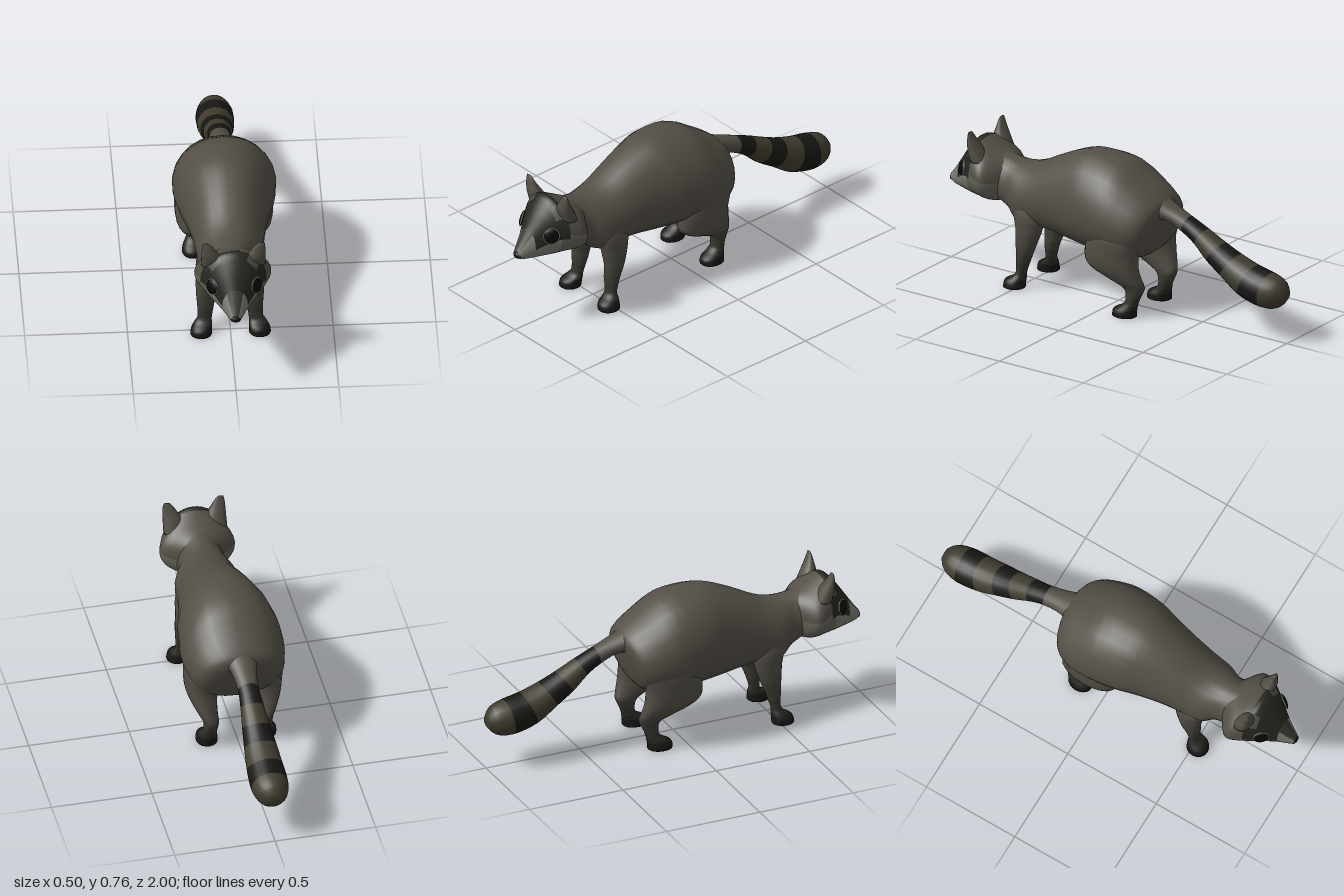
import * as THREE from 'three';

const FUR = 0x534f46, DARK = 0x181714, MASK = 0x25271f, CHEEK = 0x656359, PALE = 0x7a7a72, BRIDGE = 0x3a372f, BAND = 0x403c2f;

const material = (color) => new THREE.MeshStandardMaterial({ color, roughness: 0.9 });

// Smooth interpolation through a list of cross-sections
function sample(sections, u) {
  const last = sections.length - 1;
  const i = Math.min(Math.floor(u), last - 1), t = u - i;
  const at = (k) => sections[Math.max(0, Math.min(last, k))];
  return sections[i].map((b, k) => {
    const a = at(i - 1)[k], c = at(i + 1)[k], d = at(i + 2)[k];
    return 0.5 * (2 * b + (c - a) * t + (2 * a - 5 * b + 4 * c - d) * t * t + (3 * b - a - 3 * c + d) * t ** 3);
  });
}

// Skin over sections [z1, y1, z2, y2, halfWidth, centreX]: two opposite edge points and a width.
// colorAt(u, degrees from the first edge) picks each face's colour; every colour becomes one mesh
// sharing the same normals. pear makes the second edge's half wider than the first's.
function loft(name, sections, colorAt, { side = 1, around = 20, steps = 3, square = 0.9, pear = 0 } = {}) {
  const rings = (sections.length - 1) * steps + 1;
  const pos = [], faces = [];
  for (let i = 0; i < rings; i++) {
    const [z1, y1, z2, y2, w, cx = 0] = sample(sections, i / steps);
    for (let j = 0; j < around; j++) {
      const a = (j / around) * Math.PI * 2, c = Math.cos(a), s = Math.sin(a);
      const across = Math.sign(s) * Math.abs(s) ** square * (1 - pear * c);
      pos.push(side * cx + w * across, Math.max(0, (y1 + y2) / 2 + c * (y1 - y2) / 2), (z1 + z2) / 2 + c * (z1 - z2) / 2);
    }
  }
  for (const s of [sections[0], sections.at(-1)]) pos.push(side * (s[5] ?? 0), (s[1] + s[3]) / 2, (s[0] + s[2]) / 2);
  const end = rings * around;
  for (let j = 0; j < around; j++) {
    const k = (j + 1) % around, top = end - around;
    const turn = ((j + 0.5) / around) * 360, deg = Math.min(turn, 360 - turn);
    faces.push([end, k, j, colorAt(0, deg)], [end + 1, top + j, top + k, colorAt(sections.length - 1, deg)]);
    for (let i = 0; i < rings - 1; i++) {
      const a = i * around + j, b = i * around + k, color = colorAt((i + 0.5) / steps, deg);
      faces.push([a, b, a + around, color], [b, b + around, a + around, color]);
    }
  }
  // Turn all faces outward
  const v = (i) => new THREE.Vector3().fromArray(pos, i * 3);
  const volume = faces.reduce((sum, f) => sum + v(f[0]).dot(v(f[1]).cross(v(f[2]))), 0);
  const byColor = new Map();
  const all = [];
  for (const [a, b, c, color] of faces) {
    const tri = volume > 0 ? [a, b, c] : [a, c, b];
    if (!byColor.has(color)) byColor.set(color, []);
    byColor.get(color).push(...tri);
    all.push(...tri);
  }
  const whole = new THREE.BufferGeometry();
  whole.setAttribute('position', new THREE.Float32BufferAttribute(pos, 3));
  whole.setIndex(all);
  whole.computeVertexNormals();
  const group = new THREE.Group();
  group.name = name;
  for (const [color, index] of byColor) {
    const geometry = new THREE.BufferGeometry();
    geometry.setAttribute('position', whole.attributes.position);
    geometry.setAttribute('normal', whole.attributes.normal);
    geometry.setIndex(index);
    const mesh = new THREE.Mesh(geometry, material(color));
    mesh.name = name + 'Fur';
    group.add(mesh);
  }
  return group;
}

const BODY = [
  [-0.295, 0.555, -0.275, 0.47, 0.07], [-0.28, 0.585, -0.25, 0.37, 0.16], [-0.24, 0.62, -0.21, 0.3, 0.212],
  [-0.16, 0.675, -0.13, 0.265, 0.242], [-0.05, 0.742, -0.02, 0.265, 0.252], [0.1, 0.76, 0.1, 0.272, 0.236],
  [0.2, 0.745, 0.2, 0.278, 0.208], [0.33, 0.69, 0.33, 0.295, 0.18], [0.45, 0.628, 0.44, 0.3, 0.164],
  [0.54, 0.605, 0.53, 0.295, 0.152], [0.62, 0.612, 0.59, 0.34, 0.116], [0.7, 0.63, 0.66, 0.385, 0.12],
];
const HEAD = [
  [0.63, 0.605, 0.63, 0.39, 0.1], [0.7, 0.635, 0.69, 0.38, 0.183], [0.76, 0.67, 0.76, 0.38, 0.172],
  [0.805, 0.685, 0.82, 0.378, 0.14], [0.86, 0.63, 0.87, 0.38, 0.101], [0.92, 0.545, 0.92, 0.385, 0.062],
  [0.965, 0.48, 0.965, 0.394, 0.037], [0.992, 0.445, 0.99, 0.408, 0.022],
];
const TAIL = [
  [-0.2, 0.62, -0.2, 0.46, 0.11], [-0.3, 0.578, -0.3, 0.488, 0.066], [-0.42, 0.53, -0.4, 0.445, 0.052],
  [-0.52, 0.485, -0.47, 0.4, 0.058], [-0.62, 0.435, -0.54, 0.335, 0.069], [-0.71, 0.395, -0.63, 0.275, 0.08],
  [-0.81, 0.362, -0.74, 0.2, 0.09], [-0.9, 0.343, -0.87, 0.165, 0.092], [-0.965, 0.32, -0.955, 0.178, 0.07],
  [-0.998, 0.275, -0.998, 0.225, 0.03],
];
const FRONT_LEG = [
  [0.51, 0.5, 0.42, 0.5, 0.035, 0.085], [0.545, 0.4, 0.385, 0.4, 0.058, 0.104], [0.53, 0.31, 0.385, 0.32, 0.057, 0.108],
  [0.52, 0.22, 0.415, 0.22, 0.045, 0.121], [0.518, 0.15, 0.445, 0.15, 0.042, 0.119], [0.516, 0.08, 0.468, 0.08, 0.035, 0.124],
  [0.535, 0.055, 0.467, 0.05, 0.042, 0.132], [0.57, 0.035, 0.467, 0.02, 0.051, 0.14], [0.577, 0, 0.467, 0, 0.053, 0.143],
];
const HIND_LEG = [
  [0, 0.52, -0.17, 0.52, 0.06, 0.13], [0.06, 0.42, -0.23, 0.42, 0.086, 0.152], [0.08, 0.3, -0.215, 0.33, 0.083, 0.157],
  [0.055, 0.235, -0.22, 0.25, 0.07, 0.158], [-0.07, 0.175, -0.238, 0.185, 0.048, 0.145],
  [-0.135, 0.14, -0.243, 0.15, 0.038, 0.135], [-0.143, 0.08, -0.215, 0.09, 0.034, 0.138],
  [-0.12, 0.055, -0.205, 0.05, 0.041, 0.143], [-0.08, 0.032, -0.2, 0.02, 0.052, 0.146], [-0.075, 0, -0.2, 0, 0.053, 0.146],
];
const EAR = [
  [0.795, 0.59, 0.71, 0.59, 0.048, 0.11], [0.812, 0.65, 0.735, 0.64, 0.048, 0.109], [0.808, 0.69, 0.762, 0.685, 0.036, 0.12],
  [0.802, 0.722, 0.78, 0.72, 0.024, 0.129], [0.797, 0.738, 0.788, 0.738, 0.015, 0.134],
];

// Dark mask round the eyes, dark bridge, pale cheeks and muzzle sides
function faceColor(u, deg) {
  if (u < 2.4) return deg < 90 ? FUR : CHEEK;
  if (u > 5) return deg < 40 ? BRIDGE : PALE;
  if (deg > 100) return u < 3 ? CHEEK : PALE;
  return u < 3.4 && deg > 30 && deg < 60 ? FUR : MASK;
}

// Legs darken step by step towards the feet
function legColor(from, to) {
  return (u) => {
    const t = THREE.MathUtils.clamp((u - from) / (to - from), 0, 1);
    return new THREE.Color(FUR).lerp(new THREE.Color(DARK), Math.round(t * 8) / 8).getHex();
  };
}

function makeEye(side) {
  const eye = new THREE.Group();
  eye.name = 'eye';
  const ball = new THREE.Mesh(new THREE.SphereGeometry(0.038, 20, 12), material(0x080808));
  ball.name = 'eyeball';
  ball.scale.z = 0.3;
  const rim = new THREE.Mesh(new THREE.TorusGeometry(0.039, 0.003, 6, 28), material(0xb4b4ac));
  rim.name = 'eyeRim';
  eye.add(ball, rim);
  eye.position.set(side * 0.109, 0.53, 0.86);
  eye.lookAt(side * 0.859, 0.74, 1.46);
  return eye;
}

export function createModel() {
  const model = new THREE.Group();
  model.name = 'raccoon';
  model.add(
    loft('body', BODY, () => FUR, { around: 24, pear: 0.1 }),
    loft('head', HEAD, faceColor, { around: 36, steps: 5, square: 0.95, pear: 0.04 }),
    loft('tail', TAIL, (u) => (u < 2 ? FUR : u < 8 && Math.floor(u) % 2 === 0 ? DARK : BAND), { square: 1 }),
  );
  const nose = new THREE.Mesh(new THREE.SphereGeometry(0.024, 14, 10), material(0x141412));
  nose.name = 'nose';
  nose.scale.set(1.1, 0.75, 0.7);
  nose.position.set(0, 0.422, 0.983);
  model.add(nose);
  for (const side of [1, -1]) {
    const word = side > 0 ? 'left' : 'right';
    model.add(
      loft(word + 'FrontLeg', FRONT_LEG, legColor(1.5, 6.5), { side }),
      loft(word + 'HindLeg', HIND_LEG, legColor(3, 7.5), { side }),
      loft(word + 'Ear', EAR, () => FUR, { side, around: 14 }),
      makeEye(side),
    );
  }
  return model;
}
